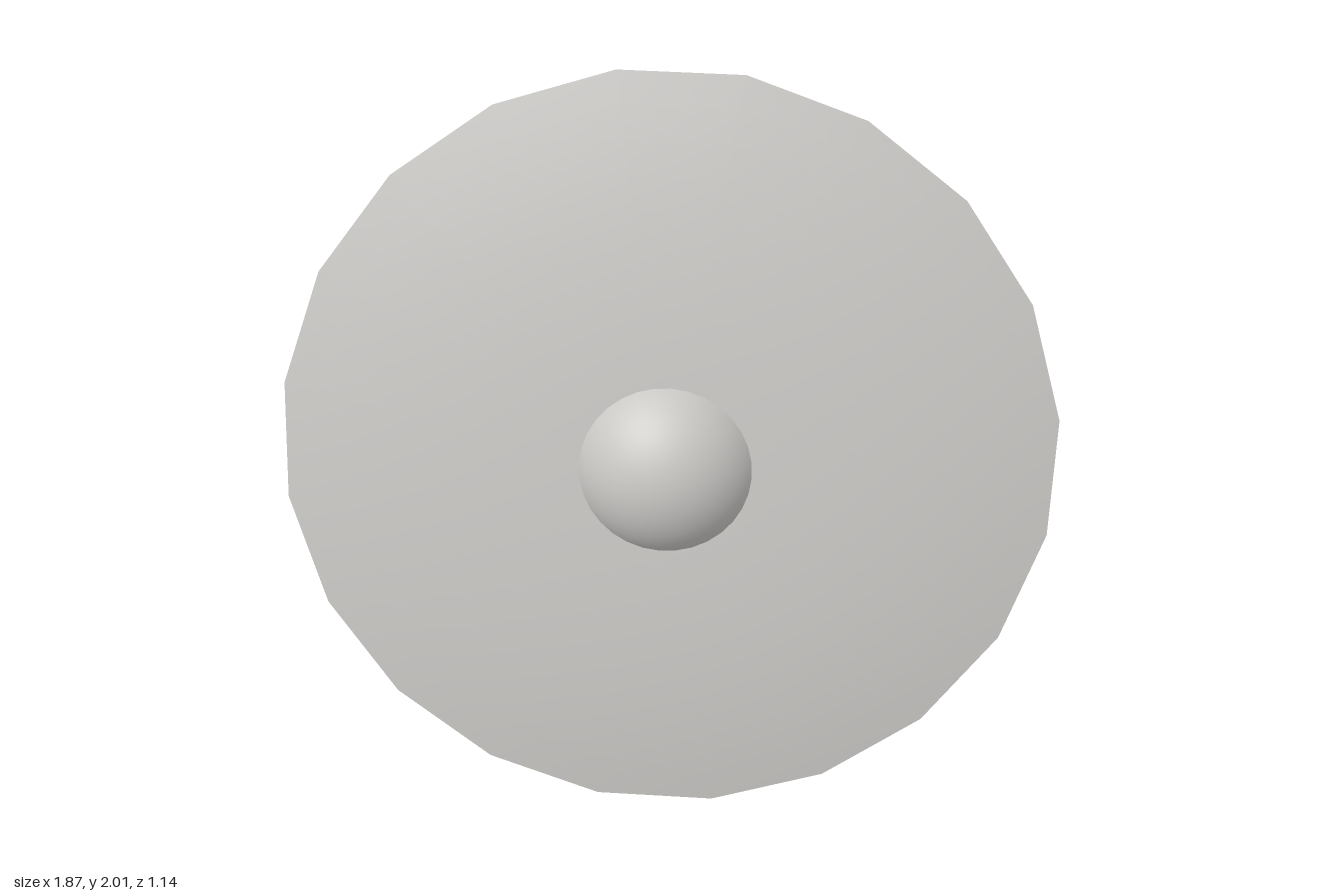
import * as THREE from 'three';

const R = 1.047, BACK_R = 1.031, DEPTH = 0.05, SIDES = 20;

export function createModel() {
  const metal = new THREE.MeshStandardMaterial({ color: 0xc8c6c3 });
  metal.name = 'grey metal';
  const leather = new THREE.MeshStandardMaterial({ color: 0x423a32 });
  leather.name = 'dark leather';

  const shield = new THREE.Group();
  shield.name = 'shield';
  const add = (name, geometry, material) => {
    const mesh = new THREE.Mesh(geometry, material);
    mesh.name = name;
    shield.add(mesh);
    return mesh;
  };

  // Shallow dome heights along the shield's axis (local y); the front edge is at y = 0
  const frontY = r => 0.092 * (1 - (r / R) ** 2.5);
  const backY = r => -DEPTH + 0.07 * (1 - (r / BACK_R) ** 2.5);
  const lathe = (points, sides = SIDES) =>
    new THREE.LatheGeometry(points.map(([r, y]) => new THREE.Vector2(r, y)), sides);
  const radii = (n, max) => Array.from({ length: n + 1 }, (_, i) => (max * i) / n);

  // Face, tapered rim and hollow back are separate so the edges stay sharp
  add('shieldFace', lathe(radii(12, R).reverse().map(r => [r, frontY(r)])), metal);
  add('shieldRim', lathe([[BACK_R, -DEPTH], [R, 0]]), metal);
  add('shieldBack', lathe(radii(12, BACK_R).map(r => [r, backY(r)])), metal);

  // Boss: spherical cap sunk slightly into the middle of the face
  const bossR = 0.23, bossH = 0.123;
  const sphereR = (bossR ** 2 + bossH ** 2) / (2 * bossH);
  const capAngle = Math.asin(bossR / sphereR);
  const boss = add('boss',
    new THREE.SphereGeometry(sphereR, 32, 12, 0, Math.PI * 2, 0, capAngle * 1.06), metal);
  boss.position.y = frontY(bossR) - sphereR * Math.cos(capAngle);

  // Dark round pad in the hollow behind the boss
  const padR = 0.216, padFace = -0.02;
  add('backPad', lathe([
    [0, padFace - 0.004], [padR * 0.6, padFace - 0.002], [padR * 0.96, padFace + 0.003],
    [padR, padFace + 0.012], [padR, backY(padR) + 0.005],
  ], 28), leather);

  // Grip strap bridging the hollow back, narrowing to its ends
  const strap = new THREE.BoxGeometry(0.072, 0.01, 1.7, 2, 1, 24);
  const p = strap.attributes.position;
  for (let i = 0; i < p.count; i++) {
    const z = p.getZ(i), t = Math.abs(z) / 0.85;
    const level = Math.min(backY(Math.abs(z)), -0.006);
    p.setXYZ(i, p.getX(i) * (1 - 0.6 * t * t), p.getY(i) + level - 0.004, z);
  }
  strap.computeVertexNormals();
  add('gripStrap', strap, leather);

  // Lean the shield: local y becomes the facing direction, local z the strap direction
  const axis = new THREE.Vector3(0.46, 0.255, 0.85).normalize();
  const along = new THREE.Vector3(-0.25, 1, -0.165);
  along.addScaledVector(axis, -along.dot(axis)).normalize();
  const side = new THREE.Vector3().crossVectors(axis, along);
  shield.quaternion.setFromRotationMatrix(new THREE.Matrix4().makeBasis(side, axis, along));
  shield.position.y = 1;

  const model = new THREE.Group();
  model.name = 'roundShield';
  model.add(shield);
  return model;
}
